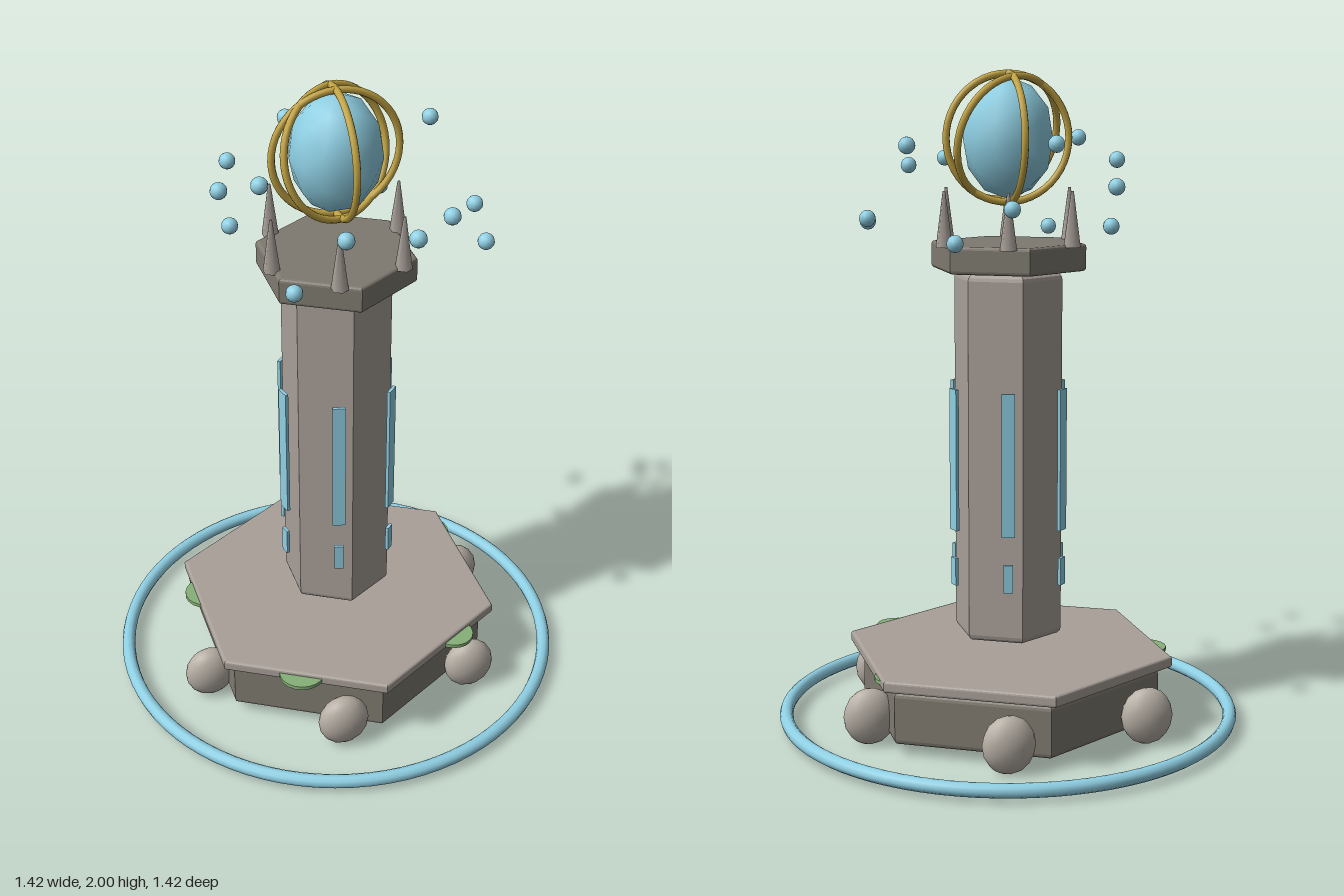
import * as THREE from 'three';

const mat = (color) => new THREE.MeshStandardMaterial({ color });

export function createModel() {
  const model = new THREE.Group();
  const stone = mat(0xa89f98), darkStone = mat(0x7f7a70), rock = mat(0xb8b0a6);
  const glow = mat(0x8fd0e4), gold = mat(0xc4a544), moss = mat(0x86b078);

  const add = (name, geometry, material, x = 0, y = 0, z = 0, parent = model) => {
    const mesh = new THREE.Mesh(geometry, material);
    mesh.name = name;
    mesh.position.set(x, y, z);
    parent.add(mesh);
    return mesh;
  };
  const group = (name) => {
    const g = new THREE.Group();
    g.name = name;
    model.add(g);
    return g;
  };

  // Bevelled hexagonal prism with corners on the z axis
  const hexPrism = (name, radius, y0, y1, bevel, material) => {
    const r = radius - bevel / Math.cos(Math.PI / 6);
    const corners = [];
    for (let i = 0; i < 6; i++) {
      const a = Math.PI / 2 + (i * Math.PI) / 3;
      corners.push(new THREE.Vector2(r * Math.cos(a), r * Math.sin(a)));
    }
    const geo = new THREE.ExtrudeGeometry(new THREE.Shape(corners), {
      depth: y1 - y0 - 2 * bevel, bevelSize: bevel, bevelThickness: bevel, bevelSegments: 3,
    });
    geo.rotateX(-Math.PI / 2);
    return add(name, geo, material, 0, y0 + bevel, 0);
  };

  // Floating tiers of the tower
  hexPrism('base', 0.475, 0.035, 0.195, 0.015, darkStone);
  hexPrism('platform', 0.517, 0.205, 0.24, 0.008, stone);
  hexPrism('column', 0.168, 0.285, 1.405, 0.02, stone);
  hexPrism('cap', 0.24, 1.41, 1.492, 0.01, darkStone);

  // Glowing ring around the foot
  add('groundRing', new THREE.TorusGeometry(0.69, 0.021, 10, 80).rotateX(Math.PI / 2), glow, 0, 0.037, 0);

  // Six-fold parts: boulders, window panels and crown spikes
  const boulders = group('boulders'), panels = group('windowPanels'), crown = group('crown');
  const boulderGeo = new THREE.IcosahedronGeometry(1, 2).scale(0.08, 0.088, 0.05);
  const longPanel = new THREE.BoxGeometry(0.04, 0.433, 0.01);
  const shortPanel = new THREE.BoxGeometry(0.028, 0.085, 0.01);
  const spikeGeo = new THREE.CylinderGeometry(0.004, 0.026, 0.165, 6);
  for (let i = 0; i < 6; i++) {
    const a = (i * Math.PI) / 3 - Math.PI / 12;
    const c = Math.cos(a), s = Math.sin(a);
    add('boulder', boulderGeo, rock, 0.48 * c, 0.09, 0.48 * s, boulders);
    add('longPanel', longPanel, glow, 0.187 * c, 0.844, 0.187 * s, panels).rotation.y = Math.PI / 2 - a;
    add('shortPanel', shortPanel, glow, 0.187 * c, 0.499, 0.187 * s, panels).rotation.y = Math.PI / 2 - a;
    add('spike', spikeGeo, stone, 0.217 * c, 1.567, 0.217 * s, crown);
  }

  // Thin moss discs poking out of the platform edge: x, z, radius
  const mossGroup = group('mossPatches');
  for (const [x, z, r] of [[-0.412, -0.1, 0.07], [-0.225, 0.36, 0.072], [0.285, 0.335, 0.062], [0.385, -0.18, 0.073]])
    add('mossPatch', new THREE.CylinderGeometry(r, r, 0.012, 20), moss, x, 0.222, z, mossGroup);

  // Elongated orb inside three gold hoops
  const beacon = group('beacon');
  beacon.position.y = 1.8;
  add('orb', new THREE.IcosahedronGeometry(1, 1).scale(0.138, 0.18, 0.138), glow, 0, 0, 0, beacon);
  const hoopGeo = new THREE.TorusGeometry(0.189, 0.011, 8, 48);
  for (const [rx, ry] of [[0, 0], [0, Math.PI / 2], [-0.3, 0.42]])
    add('hoop', hoopGeo, gold, 0, 0, 0, beacon).rotation.set(rx, ry, 0);

  // Drifting motes around the beacon: x, y, z
  const motes = group('motes');
  const moteGeo = new THREE.SphereGeometry(0.025, 12, 8);
  const spots = [
    [-0.24, 1.668, -0.3], [-0.065, 1.79, -0.283], [0.063, 1.607, -0.277], [0.235, 1.515, -0.295],
    [0.343, 1.786, -0.167], [0.427, 1.57, 0], [0.39, 1.548, 0.185], [0.238, 1.711, 0.298],
    [0.095, 1.728, 0.418], [-0.073, 1.697, 0.317], [-0.2, 1.518, 0.248], [-0.258, 1.797, 0.124],
    [-0.342, 1.733, 0], [-0.28, 1.543, -0.136],
  ];
  for (const [x, y, z] of spots) add('mote', moteGeo, glow, x, y, z, motes);

  return model;
}
